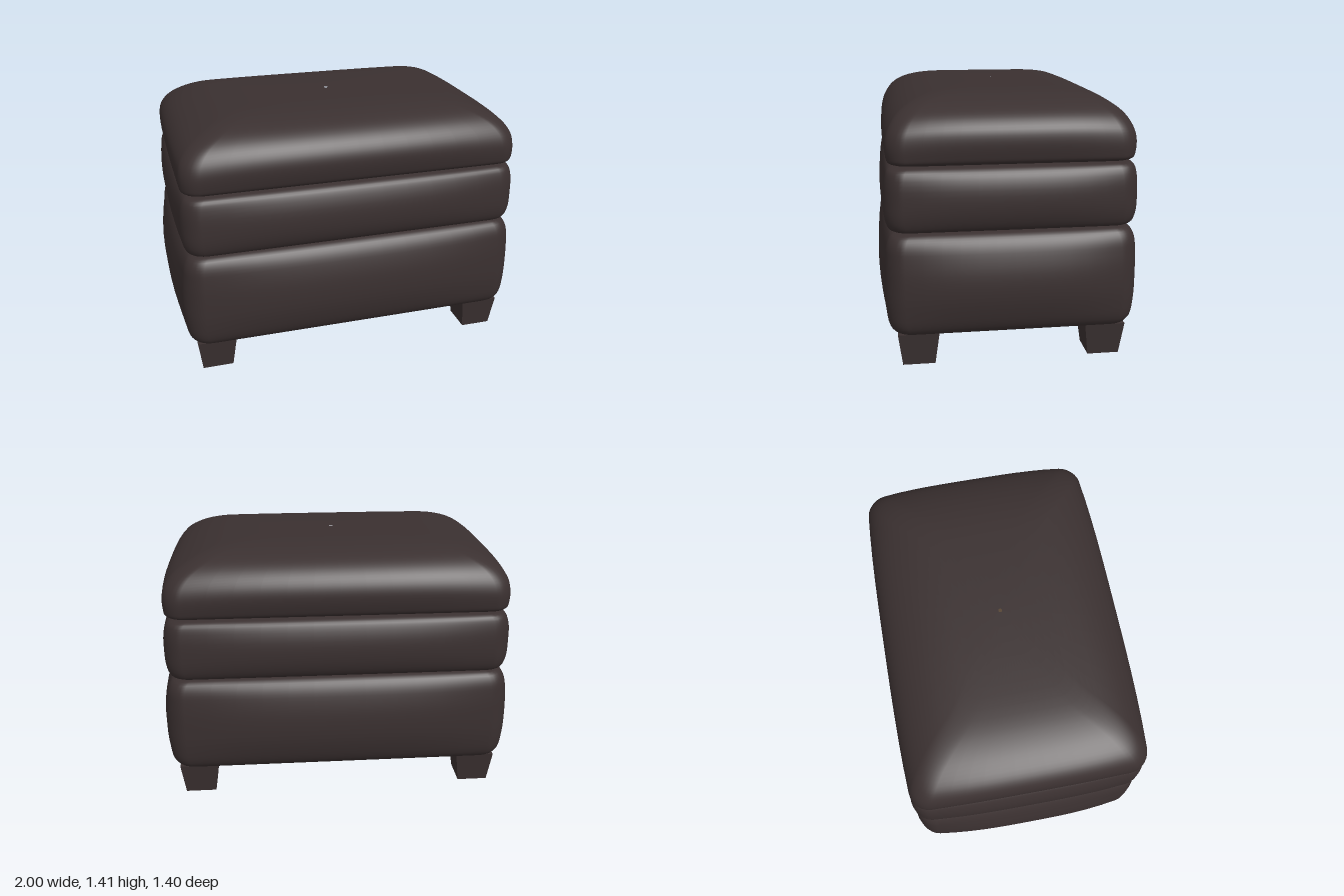
import * as THREE from 'three';

const leather = new THREE.MeshStandardMaterial({ color: 0x3a3030 });
leather.name = 'dark brown leather';
const lining = new THREE.MeshStandardMaterial({ color: 0x54422f });
lining.name = 'brown underside lining';

// Rounded rectangle outline whose sides swell outward, walked from +x towards +z
function outline(hx, hz, radius, bulgeX, bulgeZ) {
  const r = Math.min(radius, hx * 0.9, hz * 0.9);
  const pts = [];
  const arc = 6, side = 12;
  for (let q = 0; q < 4; q++) {
    const sx = q === 0 || q === 3 ? 1 : -1, sz = q < 2 ? 1 : -1;
    const corner = [];
    for (let i = 0; i <= arc; i++) {
      const a = (q + i / arc) * Math.PI / 2;
      corner.push([sx * (hx - r) + r * Math.cos(a), sz * (hz - r) + r * Math.sin(a)]);
    }
    pts.push(...corner);
    // straight run to the next corner
    const [x, z] = corner[arc];
    const end = q % 2 === 0 ? [-x, z] : [x, -z];
    for (let i = 1; i < side; i++) {
      const t = i / side;
      pts.push([x + (end[0] - x) * t, z + (end[1] - z) * t]);
    }
  }
  return pts.map(([x, z]) => {
    const u = x / hx, v = z / hz;
    return [x + bulgeX * u * (1 - Math.abs(v) ** 3), z + bulgeZ * v * (1 - Math.abs(u) ** 3)];
  });
}

// Upholstered block lofted through [y, half width, half depth] sections
function cushion(name, sections, bulgeX, bulgeZ, droop = 0) {
  const curve = new THREE.CatmullRomCurve3(sections.map(s => new THREE.Vector3(s[1], s[0], s[2])), false, 'centripetal');
  const rings = curve.getPoints((sections.length - 1) * 4);
  const y0 = sections[0][0], y1 = sections[sections.length - 1][0];
  const pos = [], index = [];
  let n = 0;
  rings.forEach(({ x: hx, y, z: hz }) => {
    const t = THREE.MathUtils.clamp((y - y0) / (y1 - y0), 0, 1);
    const swell = Math.sin(Math.PI * t);
    const ring = outline(Math.max(hx, 0.01), Math.max(hz, 0.01), 0.09, bulgeX * swell, bulgeZ * swell);
    n = ring.length;
    for (const [x, z] of ring) {
      const corner = (Math.abs(x) / 0.95) ** 4 * (Math.abs(z) / 0.66) ** 4;
      pos.push(x, y - droop * t * corner, z);
    }
  });
  for (let i = 0; i < rings.length - 1; i++) {
    for (let j = 0; j < n; j++) {
      const a = i * n + j, b = i * n + (j + 1) % n;
      index.push(a, a + n, b, b, a + n, b + n);
    }
  }
  const geo = new THREE.BufferGeometry();
  geo.setAttribute('position', new THREE.Float32BufferAttribute(pos, 3));
  geo.setIndex(index);
  geo.computeVertexNormals();
  const mesh = new THREE.Mesh(geo, leather);
  mesh.name = name;
  return mesh;
}

export function createModel() {
  const group = new THREE.Group();
  group.name = 'ottoman';

  // Deep lower body
  group.add(cushion('baseBody', [
    [0.176, 0.01, 0.01], [0.176, 0.86, 0.57], [0.18, 0.91, 0.615], [0.22, 0.935, 0.64],
    [0.32, 0.942, 0.65], [0.45, 0.942, 0.65], [0.58, 0.94, 0.65], [0.66, 0.935, 0.645],
    [0.705, 0.915, 0.625], [0.72, 0.86, 0.57], [0.72, 0.5, 0.3],
  ], 0.058, 0.05));

  // Middle cushion
  group.add(cushion('middleCushion', [
    [0.72, 0.5, 0.3], [0.722, 0.86, 0.58], [0.735, 0.915, 0.63], [0.78, 0.93, 0.647],
    [0.89, 0.932, 0.65], [1.0, 0.93, 0.645], [1.045, 0.915, 0.633], [1.062, 0.87, 0.59],
    [1.063, 0.5, 0.3],
  ], 0.036, 0.03));

  // Domed seat cushion with an undercut lower edge
  group.add(cushion('topCushion', [
    [1.06, 0.5, 0.3], [1.065, 0.88, 0.59], [1.085, 0.925, 0.63], [1.12, 0.93, 0.637],
    [1.19, 0.927, 0.637], [1.25, 0.912, 0.622], [1.305, 0.87, 0.59], [1.35, 0.795, 0.535],
    [1.383, 0.7, 0.45], [1.402, 0.58, 0.34], [1.409, 0.35, 0.2], [1.411, 0.01, 0.01],
  ], 0.025, 0.026, 0.05));

  // Fabric panel under the body
  const panel = new THREE.Mesh(new THREE.BoxGeometry(1.76, 0.006, 1.18), lining);
  panel.name = 'undersideLining';
  panel.position.y = 0.174;
  group.add(panel);

  // Four tapered square feet
  const foot = new THREE.CylinderGeometry(0.108 * Math.SQRT2, 0.085 * Math.SQRT2, 0.178, 4).rotateY(Math.PI / 4).toNonIndexed();
  foot.computeVertexNormals();
  for (const sx of [-1, 1]) {
    for (const sz of [-1, 1]) {
      const leg = new THREE.Mesh(foot, leather);
      leg.name = (sz > 0 ? 'front' : 'back') + (sx > 0 ? 'Left' : 'Right') + 'Leg';
      leg.position.set(sx * 0.797, 0.089, sz * 0.497);
      group.add(leg);
    }
  }
  return group;
}
